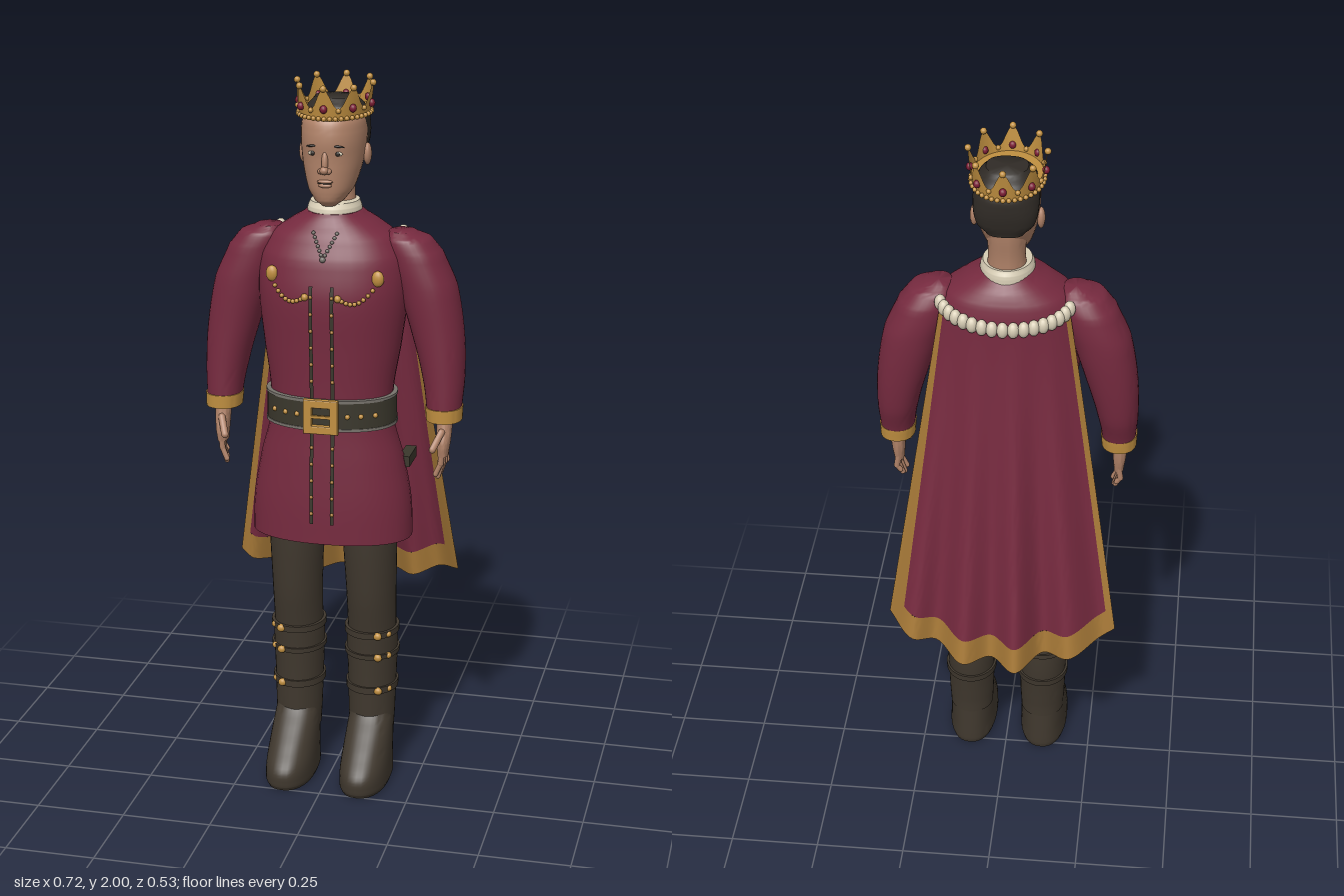
import * as THREE from 'three';
import { mergeVertices, toCreasedNormals } from 'three/addons/utils/BufferGeometryUtils.js';

const mat = (name, color, extra = {}) => Object.assign(new THREE.MeshStandardMaterial({ color, ...extra }), { name });
const M = {
  crimson: mat('crimson cloth', 0x762a3f, { side: THREE.DoubleSide }),
  gold: mat('gold', 0xc08f40, { side: THREE.DoubleSide }),
  trim: mat('gold trim cloth', 0xa87a38, { side: THREE.DoubleSide }),
  skin: mat('skin', 0xb08268),
  hair: mat('hair', 0x302b26),
  ivory: mat('ivory fur', 0xd6ccb4),
  brown: mat('brown leather', 0x40382e),
  belt: mat('dark belt', 0x3a372c, { side: THREE.DoubleSide }),
  gem: mat('red gem', 0x7c1c34),
  silver: mat('silver', 0x77736c),
};

// Surface from f(u, v) -> [x, y, z]
function grid(f, nu, nv, u0 = 0, u1 = 1, v0 = 0, v1 = 1) {
  const pos = [], idx = [];
  for (let j = 0; j <= nv; j++)
    for (let i = 0; i <= nu; i++) pos.push(...f(u0 + (u1 - u0) * i / nu, v0 + (v1 - v0) * j / nv));
  for (let j = 0; j < nv; j++)
    for (let i = 0; i < nu; i++) {
      const a = j * (nu + 1) + i, b = a + 1, c = a + nu + 1, d = c + 1;
      idx.push(a, b, d, a, d, c);
    }
  const g = new THREE.BufferGeometry();
  g.setAttribute('position', new THREE.Float32BufferAttribute(pos, 3));
  g.setIndex(idx);
  return toCreasedNormals(mergeVertices(g, 1e-5), 0.9);
}

// Sections, in rising order: [y, centreX, halfWidth, frontZ, backZ]
function sectionAt(secs, y) {
  let i = 0;
  while (i < secs.length - 2 && y > secs[i + 1][0]) i++;
  const t = (y - secs[i][0]) / (secs[i + 1][0] - secs[i][0]);
  const at = (k) => secs[Math.min(Math.max(k, 0), secs.length - 1)];
  return [1, 2, 3, 4].map((c) => {
    const [a, b, d, e] = [at(i - 1)[c], at(i)[c], at(i + 1)[c], at(i + 2)[c]];
    return b + 0.5 * t * (d - a + t * (2 * a - 5 * b + 4 * d - e + t * (3 * (b - d) + e - a)));
  });
}
function frontZ(secs, x, y, p = 2) {
  const [cx, rx, zf, zb] = sectionAt(secs, y);
  const k = Math.min(1, Math.abs(x - cx) / rx);
  return (zf + zb) / 2 + (zf - zb) / 2 * Math.pow(1 - k ** p, 1 / p);
}
function loft(secs, p = 2, side = 1, nu = 36, sub = 5) {
  const ys = [];
  secs.slice(1).forEach((s, i) => {
    for (let k = 0; k < sub; k++) ys.push(secs[i][0] + (s[0] - secs[i][0]) * k / sub);
  });
  ys.push(secs[secs.length - 1][0]);
  const n = ys.length + 1, pw = (c) => Math.sign(c) * Math.abs(c) ** (2 / p);
  return grid((u, v) => {
    const r = Math.round(v * n), y = ys[Math.min(Math.max(r - 1, 0), ys.length - 1)];
    const k = r === 0 || r === n ? 0 : 1, a = u * 2 * Math.PI;
    const [cx, rx, zf, zb] = sectionAt(secs, y);
    return [cx * side + k * rx * pw(Math.sin(a)), y, (zf + zb) / 2 + k * (zf - zb) / 2 * pw(Math.cos(a))];
  }, nu, n);
}

export function createModel() {
  const root = new THREE.Group();
  const add = (name, geo, m, x = 0, y = 0, z = 0) => {
    const o = new THREE.Mesh(geo, m);
    o.name = name; o.position.set(x, y, z); root.add(o);
    return o;
  };
  const ball = (name, m, x, y, z, rx, ry = rx, rz = rx) => {
    const o = add(name, new THREE.SphereGeometry(1, 14, 10), m, x, y, z);
    o.scale.set(rx, ry, rz);
    return o;
  };
  const limb = (name, m, a, b, r) => {
    const A = new THREE.Vector3(...a), B = new THREE.Vector3(...b), d = B.clone().sub(A);
    const o = add(name, new THREE.CapsuleGeometry(r, d.length(), 4, 8), m);
    o.position.copy(A).add(B).multiplyScalar(0.5);
    o.quaternion.setFromUnitVectors(new THREE.Vector3(0, 1, 0), d.normalize());
  };

  // Tunic
  const tunic = [[0.74, 0, 0.225, 0.21, -0.055], [0.85, 0, 0.22, 0.21, -0.055], [0.97, 0, 0.198, 0.205, -0.045],
    [1.07, 0, 0.172, 0.2, -0.03], [1.16, 0, 0.17, 0.2, -0.03], [1.28, 0, 0.188, 0.205, -0.055],
    [1.43, 0, 0.205, 0.212, -0.08], [1.53, 0, 0.2, 0.195, -0.082], [1.585, 0, 0.17, 0.172, -0.072],
    [1.62, 0, 0.12, 0.155, -0.055], [1.65, 0, 0.075, 0.14, -0.03]];
  const P = 2.2, onTunic = (x, y) => frontZ(tunic, x, y, P);
  add('tunic', loft(tunic, P), M.crimson);
  add('neckCollar', loft([[1.635, 0, 0.075, 0.138, -0.038], [1.66, 0, 0.072, 0.138, -0.036], [1.675, 0, 0.066, 0.125, -0.028]]), M.ivory);
  for (const s of [-1, 1]) {
    add('frontSeam', grid((u, v) => {
      const x = s * 0.029 + (u - 0.5) * 0.01, y = 0.8 + 0.67 * v;
      return [x, y, onTunic(x, y) + 0.005];
    }, 1, 30), M.belt);
    for (let i = 0; i < 14; i++) {
      const y = 0.83 + i * 0.047;
      if (y < 1.05 || y > 1.17) ball('seamStud', M.trim, s * 0.029, y, onTunic(0.029, y) + 0.006, 0.005);
    }
    // Brooch with a swag of beads
    ball('brooch', M.gold, s * 0.145, 1.49, onTunic(0.145, 1.49) + 0.004, 0.017, 0.022, 0.012);
    for (let i = 1; i <= 9; i++) {
      const t = i / 9, x = 0.145 - 0.1 * t, y = 1.475 - 0.035 * t - 0.03 * Math.sin(Math.PI * t);
      ball('swagBead', M.gold, s * x, y, onTunic(x, y) + 0.005, i === 9 ? 0.01 : 0.006);
    }
    for (let i = 0; i < 6; i++) {
      const x = 0.032 * (1 - i / 6), y = 1.605 - 0.065 * i / 6;
      ball('neckChain', M.silver, s * x, y, onTunic(x, y) + 0.004, 0.005);
    }
  }
  ball('pendant', M.silver, 0, 1.54, onTunic(0, 1.54) + 0.005, 0.008);

  // Belt
  const belt = [[1.072, 0, 0.18, 0.212, -0.04], [1.152, 0, 0.179, 0.212, -0.04]];
  add('belt', loft(belt, P), M.belt);
  for (const y of [1.068, 1.148])
    add('beltEdge', loft([[y, 0, 0.182, 0.214, -0.042], [y + 0.008, 0, 0.182, 0.214, -0.042]], P), M.silver);
  const frame = new THREE.Shape([[-0.045, -0.045], [0.045, -0.045], [0.045, 0.045], [-0.045, 0.045]].map((q) => new THREE.Vector2(...q)));
  frame.holes.push(new THREE.Path([[-0.028, -0.028], [-0.028, 0.028], [0.028, 0.028], [0.028, -0.028]].map((q) => new THREE.Vector2(...q))));
  add('beltBuckle', new THREE.ExtrudeGeometry(frame, { depth: 0.012, bevelSize: 0.003, bevelThickness: 0.003, bevelSegments: 2 }), M.gold, 0, 1.111, 0.212);
  add('bucklePin', new THREE.BoxGeometry(0.07, 0.008, 0.008), M.gold, 0, 1.111, 0.222);
  for (const x of [-0.14, -0.105, -0.07, 0.07, 0.105, 0.14]) ball('beltStud', M.gold, x, 1.111, frontZ(belt, x, 1.11, P), 0.007);
  add('hipPouch', new THREE.BoxGeometry(0.03, 0.03, 0.1), M.belt, 0.2, 0.95, 0.02);

  // Arms, legs and boots
  const sleeve = [[1.105, 0.31, 0.047, 0.13, 0.01], [1.2, 0.305, 0.057, 0.128, -0.02], [1.32, 0.286, 0.071, 0.127, -0.037],
    [1.45, 0.255, 0.08, 0.128, -0.045], [1.54, 0.22, 0.075, 0.122, -0.038], [1.58, 0.2, 0.062, 0.112, -0.02], [1.598, 0.185, 0.035, 0.09, 0.005]];
  const leg = [[0.16, 0.107, 0.06, 0.108, -0.015], [0.3, 0.107, 0.064, 0.115, -0.034], [0.42, 0.107, 0.068, 0.122, -0.034],
    [0.55, 0.107, 0.07, 0.142, -0.027], [0.73, 0.105, 0.076, 0.155, -0.012], [0.85, 0.104, 0.076, 0.155, -0.012]];
  const foot = [[0, 0.108, 0.066, 0.255, -0.02], [0.012, 0.108, 0.07, 0.262, -0.023], [0.055, 0.108, 0.069, 0.258, -0.022],
    [0.1, 0.108, 0.067, 0.215, -0.02], [0.15, 0.108, 0.064, 0.16, -0.018], [0.2, 0.108, 0.06, 0.11, -0.015]];
  const shaft = [[0.125, 0.107, 0.063, 0.114, -0.022], [0.18, 0.107, 0.066, 0.117, -0.026], [0.3, 0.107, 0.069, 0.121, -0.04],
    [0.4, 0.107, 0.072, 0.126, -0.04], [0.45, 0.107, 0.071, 0.13, -0.036]];
  const ring = (y, h, o) => [y, y + h].map((q) => {
    const [cx, rx, zf, zb] = sectionAt(shaft, q);
    return [q, cx, rx + o, zf + o, zb - o];
  });
  for (const s of [1, -1]) {
    add('sleeve', loft(sleeve, 2.2, s), M.crimson);
    add('sleeveCuff', loft([[1.085, 0.311, 0.049, 0.132, 0.01], [1.122, 0.31, 0.051, 0.133, 0.006]], 2.2, s), M.gold);
    add('palm', loft([[0.985, 0.312, 0.014, 0.118, 0.058], [1.02, 0.313, 0.018, 0.12, 0.052], [1.06, 0.313, 0.021, 0.108, 0.05], [1.1, 0.312, 0.023, 0.1, 0.05]], 2.2, s), M.skin);
    for (let i = 0; i < 4; i++) {
      const z = 0.064 + i * 0.015, e = [0.95, 0.932, 0.925, 0.935][i];
      limb('finger', M.skin, [s * 0.312, 1, z], [s * (0.318 - i * 0.003), 0.965, z], 0.0085);
      limb('fingertip', M.skin, [s * (0.318 - i * 0.003), 0.965, z], [s * (0.308 - i * 0.004), e, z + 0.002], 0.0075);
    }
    limb('thumb', M.skin, [s * 0.31, 1.055, 0.108], [s * 0.292, 1.015, 0.142], 0.01);
    add('leg', loft(leg, 2, s), M.brown);
    add('bootFoot', loft(foot, 2.3, s), M.brown);
    add('bootShaft', loft(shaft, 2, s), M.brown);
    for (const [y, h] of [[0.262, 0.02], [0.37, 0.014], [0.435, 0.018]]) {
      add('bootStrap', loft(ring(y, h, 0.006), 2, s), M.brown);
      const x = 0.14;
      ball('bootButton', M.gold, s * x, y + h / 2, frontZ(shaft, x, y) + 0.008, 0.012, 0.011, 0.009);
      ball('bootButton', M.gold, s * 0.165, y + h / 2, frontZ(shaft, 0.165, y) + 0.006, 0.009);
    }
  }

  // Head
  const head = [[1.672, 0, 0.02, 0.14, 0.09], [1.685, 0, 0.038, 0.158, 0.06], [1.715, 0, 0.06, 0.165, 0.015], [1.76, 0, 0.074, 0.167, -0.02],
    [1.8, 0, 0.082, 0.168, -0.042], [1.85, 0, 0.086, 0.172, -0.055], [1.9, 0, 0.083, 0.163, -0.055], [1.928, 0, 0.068, 0.132, -0.035]];
  add('head', loft(head, 2.15), M.skin);
  add('neck', loft([[1.63, 0, 0.056, 0.09, -0.022], [1.7, 0, 0.05, 0.078, -0.022], [1.78, 0, 0.055, 0.09, -0.032]]), M.skin);
  add('hair', loft([[1.785, 0, 0.05, 0.02, -0.045], [1.81, 0, 0.076, 0.045, -0.054], [1.85, 0, 0.086, 0.07, -0.062],
    [1.9, 0, 0.086, 0.12, -0.062], [1.93, 0, 0.074, 0.118, -0.042], [1.952, 0, 0.055, 0.09, -0.012]], 2.4), M.hair);
  const onFace = (x, y) => frontZ(head, x, y, 2.15);
  for (const s of [1, -1]) {
    const ex = s * 0.034, ez = onFace(0.034, 1.818);
    ball('ear', M.skin, s * 0.088, 1.8, 0.045, 0.011, 0.03, 0.019);
    ball('eyeWhite', M.ivory, ex, 1.818, ez - 0.001, 0.013, 0.006, 0.004);
    ball('iris', M.hair, ex, 1.818, ez + 0.002, 0.006, 0.006, 0.003);
    ball('eyebrow', M.hair, ex, 1.838, onFace(0.034, 1.838), 0.018, 0.003, 0.004).rotation.z = -s * 0.1;
    ball('nostril', M.skin, s * 0.01, 1.772, 0.17, 0.009, 0.008, 0.01);
  }
  ball('noseBridge', M.skin, 0, 1.795, 0.168, 0.009, 0.033, 0.011).rotation.x = -0.15;
  ball('noseTip', M.skin, 0, 1.775, 0.175, 0.012, 0.011, 0.013);
  ball('upperLip', M.skin, 0, 1.744, 0.167, 0.022, 0.005, 0.007);
  ball('lowerLip', M.skin, 0, 1.733, 0.166, 0.018, 0.006, 0.007);
  ball('mouthLine', M.hair, 0, 1.739, 0.168, 0.02, 0.0015, 0.004);

  // Crown
  const crownAt = (a, y, o = 0) => {
    const w = (y - 1.905) / 0.1;
    return [(0.092 + 0.013 * w + o) * Math.sin(a), y, 0.05 + (0.124 + 0.014 * w + o) * Math.cos(a)];
  };
  add('crownBand', grid((u, v) => {
    const a = u * 2 * Math.PI;
    return crownAt(a, 1.905 + v * (0.032 + 0.053 * Math.abs(Math.cos(4 * a)) ** 2.2));
  }, 128, 6), M.gold);
  add('crownInnerRim', grid((u, v) => {
    const a = u * 2 * Math.PI, k = 1 - 0.4 * v;
    return [0.094 * k * Math.sin(a), 1.922, 0.05 + 0.126 * k * Math.cos(a)];
  }, 48, 2), M.gold);
  for (let i = 0; i < 40; i++) ball('crownBead', M.gold, ...crownAt(i * Math.PI / 20, 1.911, 0.003), 0.0065);
  for (let i = 0; i < 8; i++) {
    const a = i * Math.PI / 4;
    ball('crownTip', M.gold, ...crownAt(a, 1.991), 0.009);
    ball('crownGem', M.gem, ...crownAt(a, 1.937, 0.003), 0.01, 0.011, 0.01);
    ball('crownStud', M.gold, ...crownAt(a + Math.PI / 8, 1.932, 0.002), 0.007);
  }

  // Cape with gold edging, hung from a row of fur tufts
  const hem = new THREE.CatmullRomCurve3([[-0.325, -0.13], [-0.29, -0.13], [-0.2, -0.218], [-0.125, -0.175], [-0.05, -0.268], [0.025, -0.2],
    [0.1, -0.252], [0.185, -0.165], [0.25, -0.197], [0.325, -0.11]].map(([x, z]) => new THREE.Vector3(x, 0, z)));
  const capeTop = (u) => {
    const c = Math.cos((u - 0.5) * 2.5), k = (c - 0.315) / 0.685;
    return [0.172 * Math.sin((u - 0.5) * 2.5) / 0.949, 1.572 - 0.037 * k, -0.03 - 0.065 * k];
  };
  const cape = (u, t) => {
    const b = hem.getPoint(u), [x, y, z] = capeTop(u), e = (2 * u - 1) ** 2;
    return [x + (b.x - x) * t, y + (0.5 + 0.075 * e - y) * t, z + (b.z - z) * t ** 1.35];
  };
  const E = 0.06, H = 0.93;
  add('cape', grid(cape, 72, 24, E, 1 - E, 0, H), M.crimson);
  add('capeHem', grid(cape, 80, 3, 0, 1, H, 1), M.trim);
  add('capeEdgeRight', grid(cape, 5, 24, 0, E, 0, H), M.trim);
  add('capeEdgeLeft', grid(cape, 5, 24, 1 - E, 1, 0, H), M.trim);
  for (let i = 0; i < 17; i++) {
    const [x, y, z] = capeTop(i / 16);
    ball('furTuft', M.ivory, x, y, z, 0.016, 0.023, 0.017);
  }
  return root;
}
